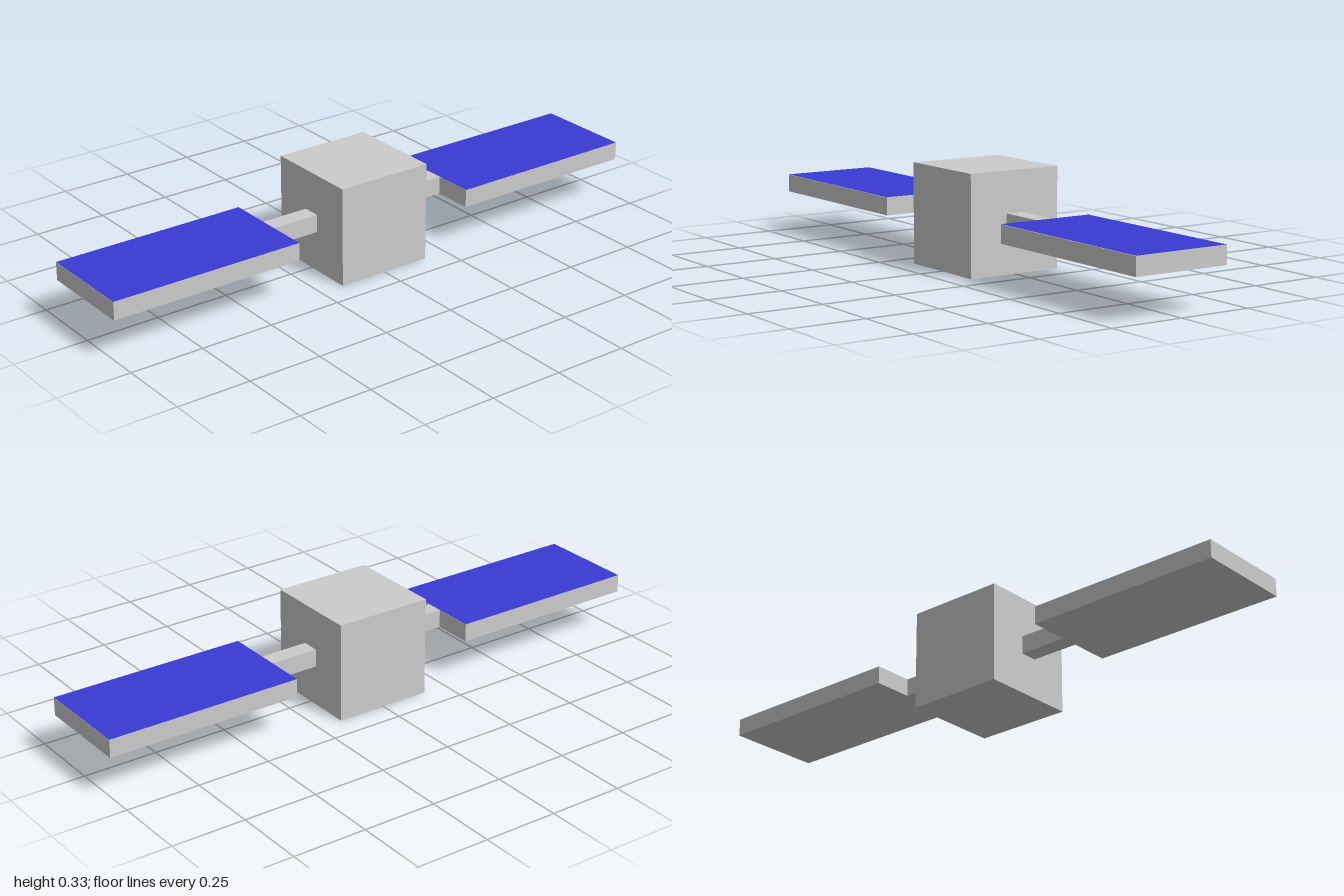
import * as THREE from 'three';

const BODY = 1 / 3;      // cube edge
const MID = BODY / 2;    // height of the arm and panel axis
const THICK = 0.06;      // arm and panel thickness
const PANEL = 2 / 3;     // panel length

export function createModel() {
  const grey = new THREE.MeshStandardMaterial({ color: 0xcccccc, flatShading: true });
  const blue = new THREE.MeshStandardMaterial({ color: 0x3a3ad4 });
  const model = new THREE.Group();
  model.name = 'satellite';

  const add = (name, geometry, material, x, y) => {
    const mesh = new THREE.Mesh(geometry, material);
    mesh.name = name;
    mesh.position.set(x, y, 0);
    model.add(mesh);
  };

  // Central cube
  add('body', new THREE.BoxGeometry(BODY, BODY, BODY), grey, 0, MID);

  // Mirrored arms, panels and blue solar cell sheets
  for (const [side, s] of [['left', 1], ['right', -1]]) {
    const panelX = s * (1 - PANEL / 2);
    add(side + 'Arm', new THREE.BoxGeometry(BODY / 2, THICK, THICK), grey, s * BODY * 0.75, MID);
    add(side + 'Panel', new THREE.BoxGeometry(PANEL, THICK, BODY), grey, panelX, MID);
    const cells = new THREE.PlaneGeometry(PANEL, BODY).rotateX(-Math.PI / 2);
    add(side + 'SolarCells', cells, blue, panelX, MID + THICK / 2 + 0.001);
  }
  return model;
}
